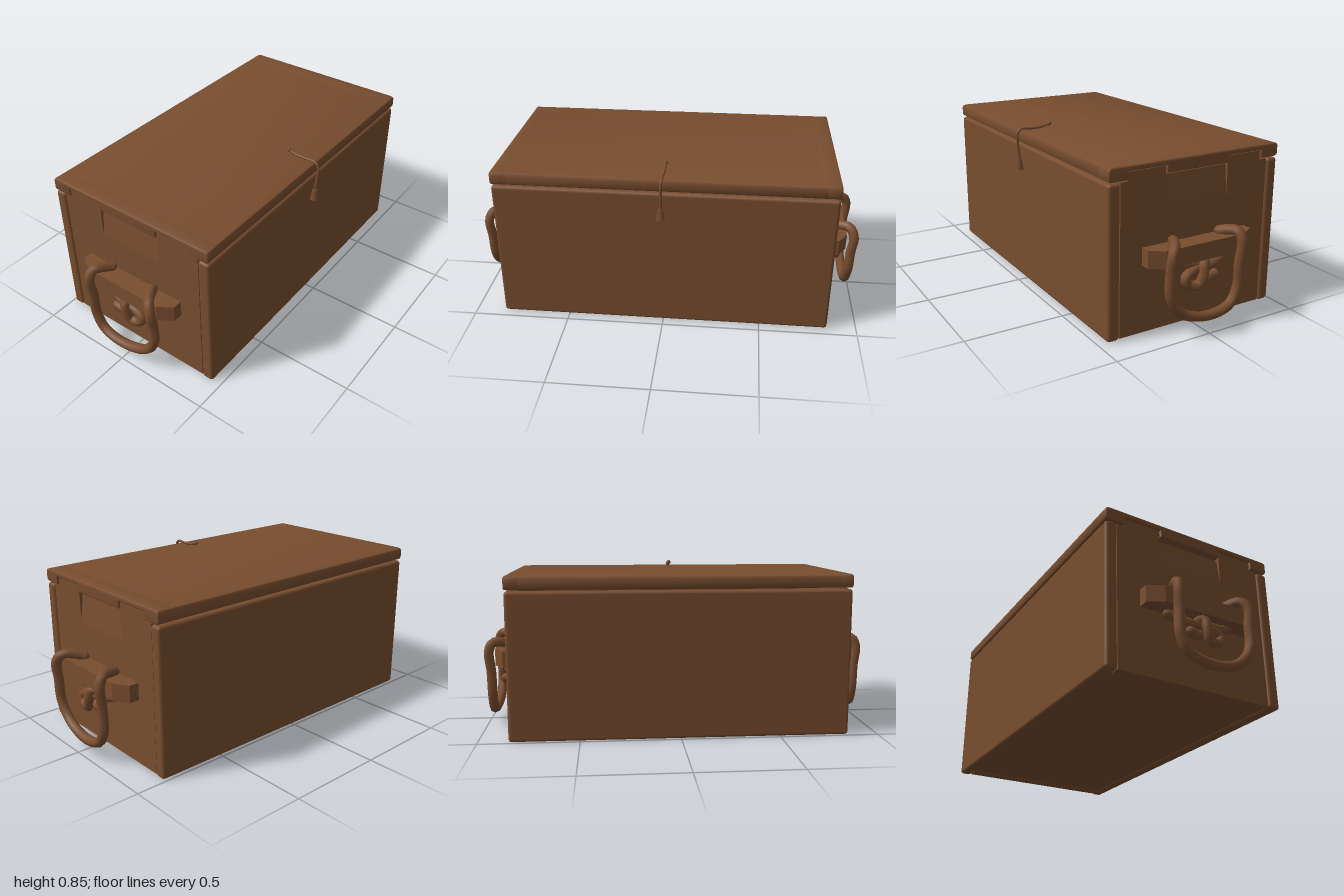
import * as THREE from 'three';
import { toCreasedNormals } from 'three/addons/utils/BufferGeometryUtils.js';
import { RoundedBoxGeometry } from 'three/addons/geometries/RoundedBoxGeometry.js';

const wood = new THREE.MeshStandardMaterial({ color: 0x784d2f });
wood.name = 'brown wood';

const BACK = -0.49, FRONT = 0.455;

function add(parent, name, geometry) {
  const mesh = new THREE.Mesh(geometry, wood);
  mesh.name = name;
  parent.add(mesh);
  return mesh;
}

// Rounded plank given by its min and max corners
function plank(parent, name, [x0, y0, z0], [x1, y1, z1], radius) {
  const g = new RoundedBoxGeometry(x1 - x0, y1 - y0, z1 - z0, 2, radius);
  g.translate((x0 + x1) / 2, (y0 + y1) / 2, (z0 + z1) / 2);
  return add(parent, name, g);
}

// Extrudes a (z, y) outline along x, from x0 to x1
function alongX(points, x0, x1, bevel = 0) {
  const shape = new THREE.Shape(points.map(([z, y]) => new THREE.Vector2(-z, y)));
  const g = new THREE.ExtrudeGeometry(shape, {
    depth: x1 - x0 - 2 * bevel, bevelEnabled: bevel > 0, bevelThickness: bevel,
    bevelSize: bevel, bevelOffset: -bevel, bevelSegments: 3,
  });
  g.translate(0, 0, x0 + bevel);
  g.rotateY(Math.PI / 2);
  return toCreasedNormals(g, 0.6);
}

// Rope through points, with rounded ends; side mirrors it in x
function rope(parent, name, points, side, radius, segments) {
  const path = points.map(([x, y, z]) => new THREE.Vector3(side * x, y, z));
  const curve = new THREE.CatmullRomCurve3(path);
  const group = new THREE.Group();
  group.name = name;
  add(group, name + 'Strand', new THREE.TubeGeometry(curve, segments, radius, 8));
  for (const p of [path[0], path[path.length - 1]]) {
    add(group, name + 'End', new THREE.SphereGeometry(radius, 8, 6)).position.copy(p);
  }
  parent.add(group);
}

function buildBody() {
  const body = new THREE.Group();
  body.name = 'body';
  plank(body, 'frontPlank', [-0.85, 0.003, 0.393], [0.85, 0.742, FRONT], 0.016);
  plank(body, 'backPlank', [-0.85, 0.003, BACK], [0.85, 0.742, -0.43], 0.016);
  plank(body, 'bottomBoard', [-0.83, 0.012, -0.45], [0.83, 0.06, 0.41], 0.004);

  // End panel with two tabs reaching into the lid and a worn hollow between them
  const outline = [
    [0.39, 0.008], [0.39, 0.742], [0.35, 0.742], [0.35, 0.785], [0.157, 0.785],
    [0.157, 0.6], [-0.193, 0.6], [-0.193, 0.785], [-0.385, 0.785],
    [-0.385, 0.742], [-0.428, 0.742], [-0.428, 0.008],
  ];
  for (const side of [1, -1]) {
    const [a, b] = side > 0 ? [0.79, 0.842] : [-0.842, -0.79];
    add(body, 'endPanel', alongX(outline, a, b));
    const worn = new THREE.Shape([[0.79, 0.6], [0.842, 0.6], [0.824, 0.742], [0.79, 0.742]]
      .map(([x, y]) => new THREE.Vector2(side * x, y)));
    const g = new THREE.ExtrudeGeometry(worn, { depth: 0.35, bevelEnabled: false });
    g.translate(0, 0, -0.193);
    add(body, 'wornPanelSection', g);
  }
  return body;
}

function buildLid() {
  const lid = new THREE.Group();
  lid.name = 'lid';
  const top = [
    [BACK, 0.762], [BACK, 0.8], [BACK + 0.005, 0.81], [BACK + 0.018, 0.815],
    [FRONT - 0.018, 0.815], [FRONT - 0.005, 0.81], [FRONT, 0.8], [FRONT, 0.762],
    [FRONT - 0.004, 0.754], [FRONT - 0.013, 0.749],
  ];
  const underside = [[BACK + 0.013, 0.749], [BACK + 0.004, 0.754]];
  const notches = [
    [0.352, 0.749], [0.352, 0.788], [0.155, 0.788], [0.155, 0.752],
    [-0.19, 0.752], [-0.19, 0.788], [-0.387, 0.788], [-0.387, 0.749],
  ];
  add(lid, 'lidBoard', alongX([...top, ...underside], -0.785, 0.785));
  add(lid, 'lidEnd', alongX([...top, ...notches, ...underside], 0.76, 0.852, 0.008));
  add(lid, 'lidEnd', alongX([...top, ...notches, ...underside], -0.852, -0.76, 0.008));
  return lid;
}

function buildHandle(side) {
  const handle = new THREE.Group();
  handle.name = side > 0 ? 'leftHandle' : 'rightHandle';

  // Wooden cleat with chamfered outer ends
  const plan = [[0.835, -0.31], [0.89, -0.31], [0.935, -0.235], [0.935, 0.205], [0.89, 0.275], [0.835, 0.275]];
  const g = new THREE.ExtrudeGeometry(
    new THREE.Shape(plan.map(([x, z]) => new THREE.Vector2(side * x, z))),
    { depth: 0.085, bevelEnabled: false });
  g.rotateX(Math.PI / 2);
  g.translate(0, 0.426, 0);
  add(handle, 'cleat', g);

  // Hanging loop, passing over the cleat at both ends
  rope(handle, 'ropeLoop', [
    [0.86, 0.435, 0.12], [0.9, 0.45, 0.145], [0.95, 0.452, 0.175], [0.973, 0.41, 0.2],
    [0.965, 0.32, 0.203], [0.962, 0.21, 0.198], [0.96, 0.125, 0.14], [0.962, 0.084, 0.05],
    [0.965, 0.077, -0.06], [0.963, 0.105, -0.145], [0.962, 0.18, -0.185],
    [0.965, 0.3, -0.188], [0.973, 0.41, -0.192], [0.95, 0.452, -0.185],
    [0.9, 0.45, -0.165], [0.86, 0.435, -0.145],
  ], side, 0.025, 64);

  // Knot below the cleat
  rope(handle, 'knot', [
    [0.865, 0.33, -0.18], [0.88, 0.307, -0.13], [0.895, 0.292, -0.06], [0.9, 0.285, 0.03],
    [0.905, 0.255, 0.077], [0.91, 0.222, 0.06], [0.92, 0.22, 0.01], [0.928, 0.265, -0.008],
    [0.92, 0.315, -0.018], [0.895, 0.312, -0.04], [0.882, 0.265, -0.03],
    [0.9, 0.24, -0.045], [0.905, 0.247, -0.09],
  ], side, 0.024, 56);
  rope(handle, 'knotTail', [
    [0.865, 0.34, 0.155], [0.875, 0.322, 0.1], [0.885, 0.312, 0.03], [0.88, 0.3, -0.05],
  ], side, 0.022, 16);
  return handle;
}

function buildClasp() {
  const clasp = new THREE.Group();
  clasp.name = 'clasp';
  rope(clasp, 'lace', [
    [0, 0.838, 0.3], [0, 0.826, 0.335], [0, 0.823, 0.4], [-0.003, 0.824, 0.455],
    [-0.005, 0.806, 0.476], [-0.006, 0.74, 0.476], [-0.008, 0.66, 0.468],
  ], 1, 0.007, 32);
  add(clasp, 'laceKnob', new THREE.SphereGeometry(0.012, 8, 6)).position.set(0, 0.838, 0.3);
  const toggle = add(clasp, 'toggle', new THREE.CylinderGeometry(0.013, 0.023, 0.055, 6));
  toggle.position.set(-0.009, 0.638, 0.469);
  return clasp;
}

export function createModel() {
  const chest = new THREE.Group();
  chest.name = 'chest';
  chest.add(buildBody(), buildLid(), buildHandle(1), buildHandle(-1), buildClasp());
  return chest;
}
